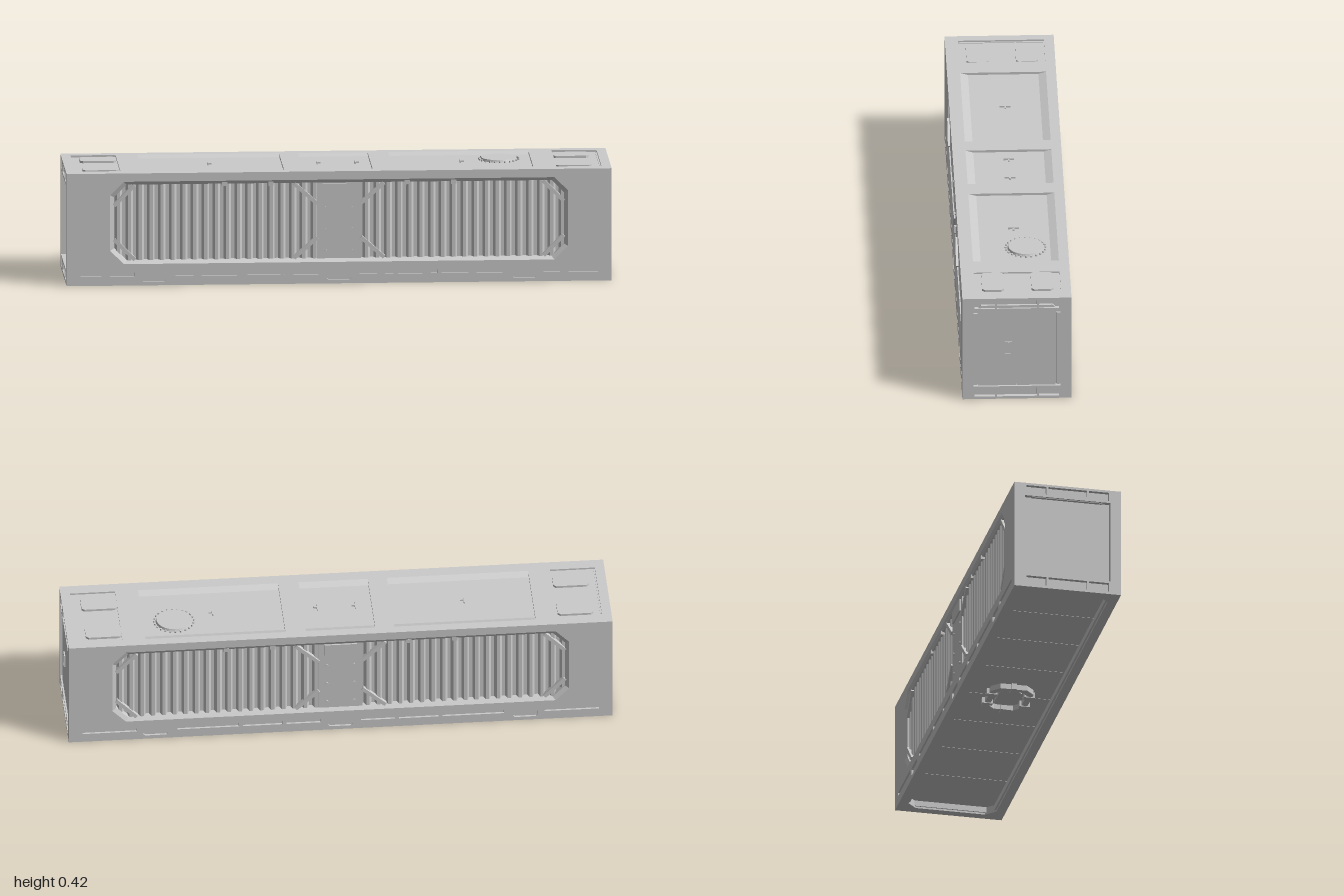
import * as THREE from 'three';

const mat = new THREE.MeshStandardMaterial({ color: 0xcccccc, flatShading: true, side: THREE.DoubleSide });

function add(parent, name, geo, x = 0, y = 0, z = 0) {
  const m = new THREE.Mesh(geo, mat);
  m.name = name;
  m.position.set(x, y, z);
  parent.add(m);
  return m;
}

// box given by its limits
function box(parent, name, x0, x1, y0, y1, z0, z1) {
  return add(parent, name, new THREE.BoxGeometry(x1 - x0, y1 - y0, z1 - z0),
    (x0 + x1) / 2, (y0 + y1) / 2, (z0 + z1) / 2);
}

// rectangle outline with optional cut corners
function outline(x0, x1, y0, y1, c = 0) {
  const p = c
    ? [[x0 + c, y0], [x1 - c, y0], [x1, y0 + c], [x1, y1 - c], [x1 - c, y1], [x0 + c, y1], [x0, y1 - c], [x0, y0 + c]]
    : [[x0, y0], [x1, y0], [x1, y1], [x0, y1]];
  return p.map(([x, y]) => new THREE.Vector2(x, y));
}

// flat plate with holes, outer face on local z = 0
function plateGeo(outer, holes, depth) {
  const s = new THREE.Shape(outer);
  holes.forEach(h => s.holes.push(new THREE.Path(h)));
  return new THREE.ExtrudeGeometry(s, { depth, bevelEnabled: false }).translate(0, 0, -depth);
}

// skin between two rows of points
function loft(a, za, b, zb, closed = true) {
  const pos = [], n = a.length;
  for (let i = 0; i < (closed ? n : n - 1); i++) {
    const j = (i + 1) % n;
    const A = [a[i].x, a[i].y, za], B = [a[j].x, a[j].y, za], C = [b[j].x, b[j].y, zb], D = [b[i].x, b[i].y, zb];
    pos.push(...A, ...B, ...C, ...A, ...C, ...D);
  }
  const g = new THREE.BufferGeometry();
  g.setAttribute('position', new THREE.Float32BufferAttribute(pos, 3));
  g.computeVertexNormals();
  return g;
}

// diagonal bar between two points on a wall
function brace(parent, x0, y0, x1, y1, z) {
  const m = add(parent, 'cornerBrace', new THREE.BoxGeometry(Math.hypot(x1 - x0, y1 - y0), 0.014, 0.016),
    (x0 + x1) / 2, (y0 + y1) / 2, z);
  m.rotation.z = Math.atan2(y1 - y0, x1 - x0);
}

// corrugated sheet made of trapezoid ribs
function corrugation(x0, x1, y0, y1) {
  const n = Math.round((x1 - x0) / 0.04), step = (x1 - x0) / n, pts = [];
  for (let i = 0; i < n; i++) {
    [[0, 0.17], [0.3, 0.17], [0.5, 0.188], [0.8, 0.188]].forEach(([t, z]) =>
      pts.push(new THREE.Vector2(x0 + (i + t) * step, z)));
  }
  pts.push(new THREE.Vector2(x1, 0.17));
  return loft(pts, -y0, pts, -y1, false).rotateX(Math.PI / 2).scale(1, 1, 1).applyMatrix4(
    new THREE.Matrix4().makeScale(1, 1, 1));
}

function longSide() {
  const g = new THREE.Group();
  g.name = 'longSide';
  const mouth = outline(-0.84, 0.84, 0.08, 0.387, 0.05);
  const inner = outline(-0.826, 0.826, 0.092, 0.375, 0.046);
  // slots in the bottom rail and three fork pockets
  const slots = [];
  for (const s of [-1, 1]) {
    for (const [a, b] of [[0.075, 0.2], [0.215, 0.36], [0.375, 0.6], [0.75, 0.95]]) {
      slots.push(s < 0 ? outline(-b, -a, 0.034, 0.048) : outline(a, b, 0.034, 0.048));
    }
  }
  const pockets = [-0.68, 0, 0.68].map(x => outline(x - 0.045, x + 0.045, 0.014, 0.044, 0.006));
  add(g, 'sideFrame', plateGeo(outline(-0.975, 0.975, 0.006, 0.412), [mouth, ...slots, ...pockets], 0.03), 0, 0, 0.2);
  add(g, 'openingBevel', loft(mouth, 0.2, inner, 0.192), 0, 0, 0);
  add(g, 'openingWall', loft(inner, 0.192, inner, 0.168), 0, 0, 0);
  box(g, 'railBacking', -0.97, 0.97, 0.007, 0.055, 0.158, 0.192);
  // two corrugated bays with braces in their corners
  for (const s of [-1, 1]) {
    add(g, 'corrugatedPanel', corrugation(s < 0 ? -0.835 : 0.075, s < 0 ? -0.075 : 0.835, 0.08, 0.386));
    for (const [yEdge, yIn] of [[0.095, 0.17], [0.372, 0.297]]) {
      brace(g, s * 0.08, yIn, s * 0.165, yEdge, 0.188);
      brace(g, s * 0.825, yIn, s * 0.75, yEdge, 0.188);
    }
    for (const x of [0.25, 0.42]) box(g, 'railClip', s * x - 0.01, s * x + 0.01, 0.366, 0.382, 0.18, 0.197);
    for (const y of [0.12, 0.2, 0.28]) {
      const rivet = add(g, 'rivet', new THREE.CylinderGeometry(0.005, 0.005, 0.006, 8), s * 0.05, y, 0.191);
      rivet.rotation.x = Math.PI / 2;
    }
  }
  box(g, 'centrePost', -0.08, 0.08, 0.082, 0.385, 0.168, 0.19);
  box(g, 'postHeader', -0.06, 0.06, 0.325, 0.372, 0.188, 0.196);
  return g;
}

// end wall, built facing +z
function endWall(doors) {
  const g = new THREE.Group();
  g.name = doors ? 'doorEnd' : 'plainEnd';
  const opening = outline(-0.16, 0.16, 0.052, 0.368);
  const slots = [];
  for (const [y0, y1] of [[0.01, 0.044], [0.376, 0.409]]) {
    for (const [a, b] of [[-0.155, -0.08], [-0.073, 0.073], [0.08, 0.155]]) slots.push(outline(a, b, y0, y1));
  }
  add(g, 'endFrame', plateGeo(outline(-0.2, 0.2, 0.006, 0.412), [opening, ...slots], 0.025), 0, 0, 1);
  box(g, 'lowerSillBacking', -0.16, 0.16, 0.007, 0.05, 0.96, 0.985);
  box(g, 'upperSillBacking', -0.16, 0.16, 0.37, 0.411, 0.96, 0.985);
  add(g, 'lintelPlate', plateGeo(outline(-0.14, 0.14, 0.366, 0.386, 0.009), [], 0.012), 0, 0, 0.994);
  for (const s of [-1, 1]) {
    for (const y of [0.007, 0.394]) {
      box(g, 'cornerCasting', s * 0.186 - 0.013, s * 0.186 + 0.013, y, y + 0.017, 0.98, 1.0);
    }
  }
  box(g, 'endPanel', -0.162, 0.162, 0.05, 0.37, 0.96, 0.982);
  if (doors) {
    for (const s of [-1, 1]) {
      box(g, 'door', s * 0.0715 - 0.0705, s * 0.0715 + 0.0705, 0.053, 0.367, 0.975, 0.994);
      box(g, 'hingeStrip', s * 0.152 - 0.0075, s * 0.152 + 0.0075, 0.053, 0.35, 0.975, 0.99);
    }
    add(g, 'handleFrame', plateGeo(outline(-0.048, -0.018, 0.183, 0.238, 0.003),
      [outline(-0.044, -0.023, 0.188, 0.234)], 0.006), 0, 0, 0.999);
    box(g, 'handleGrip', -0.04, -0.027, 0.192, 0.23, 0.99, 0.997);
  }
  return g;
}

// roof, drawn flat facing +z and then laid on top
function roof() {
  const g = new THREE.Group();
  g.name = 'roof';
  const bays = [[-0.72, -0.2], [-0.13, 0.125], [0.2, 0.715]];
  const ends = [[-0.965, -0.8], [0.8, 0.965]];
  const wells = [...bays, ...ends].map(([a, b]) => outline(a, b, -0.152, 0.163));
  add(g, 'roofPlate', plateGeo(outline(-1, 1, -0.2, 0.2), wells, 0.006));
  bays.forEach(([a, b], i) => {
    add(g, 'wellSlope', loft(wells[i], 0, outline(a, b, -0.123, 0.135), -0.009));
  });
  box(g, 'roofPanel', -0.97, 0.97, -0.17, 0.17, -0.03, -0.009);
  for (const [x, y] of [[-0.47, 0.005], [-0.07, 0.005], [0.07, 0.005], [0.455, 0.005]]) {
    box(g, 'lashingLug', x - 0.002, x + 0.002, y - 0.02, y + 0.02, -0.012, -0.002);
    box(g, 'lugFoot', x - 0.002, x + 0.014, y - 0.003, y + 0.003, -0.012, -0.003);
  }
  // raised pads at both ends
  for (const x of [-0.87, 0.865]) {
    for (const y of [0.096, -0.085]) {
      add(g, 'roofPad', plateGeo(outline(x - 0.066, x + 0.066, y - 0.04, y + 0.04, 0.01), [], 0.012), 0, 0, -0.001);
    }
  }
  // round hatch with a ring of bolts
  const hatch = add(g, 'roofHatch', new THREE.CylinderGeometry(0.064, 0.068, 0.012, 32), 0.6, 0.045, -0.006);
  hatch.rotation.x = Math.PI / 2;
  for (let i = 0; i < 24; i++) {
    const a = i / 24 * Math.PI * 2;
    const bolt = add(g, 'hatchBolt', new THREE.CylinderGeometry(0.004, 0.004, 0.008, 6),
      0.6 + Math.cos(a) * 0.073, 0.045 + Math.sin(a) * 0.073, -0.007);
    bolt.rotation.x = Math.PI / 2;
  }
  g.rotation.x = -Math.PI / 2;
  g.position.y = 0.418;
  return g;
}

// underside, drawn flat facing +z and then turned down
function underside() {
  const g = new THREE.Group();
  g.name = 'underside';
  const hole = outline(-0.965, 0.965, -0.165, 0.165, 0.035);
  add(g, 'bottomRim', plateGeo(outline(-1, 1, -0.2, 0.2), [hole], 0.006));
  add(g, 'rimWall', loft(hole, -0.006, hole, -0.03));
  box(g, 'floorBase', -0.97, 0.97, -0.17, 0.17, -0.045, -0.032);
  for (let i = 0; i < 8; i++) {
    const x = -0.966 + i * 0.2415;
    box(g, 'floorPanel', x + 0.001, x + 0.2405, -0.166, 0.166, -0.035, -0.028);
  }
  // eight-sided collar in the middle of the floor
  add(g, 'floorCollar', plateGeo(outline(-0.1, 0.1, -0.08, 0.08, 0.03),
    [outline(-0.078, 0.078, -0.058, 0.058, 0.022)], 0.022), 0, 0, -0.008);
  add(g, 'collarCover', plateGeo(outline(-0.06, 0.06, -0.042, 0.042, 0.015), [], 0.012), 0, 0, -0.018);
  for (const s of [-1, 1]) {
    for (const t of [-0.04, 0.04]) box(g, 'collarTab', t - 0.01, t + 0.01, s * 0.07 - 0.02, s * 0.07 + 0.02, -0.03, -0.005);
    box(g, 'collarTab', s * 0.09 - 0.02, s * 0.09 + 0.02, -0.01, 0.01, -0.03, -0.005);
  }
  g.rotation.x = Math.PI / 2;
  return g;
}

export function createModel() {
  const model = new THREE.Group();
  model.name = 'cargoContainer';
  const front = longSide(), back = longSide();
  back.rotation.y = Math.PI;
  const right = endWall(true), left = endWall(false);
  right.rotation.y = Math.PI / 2;
  left.rotation.y = -Math.PI / 2;
  model.add(front, back, right, left, roof(), underside());
  return model;
}
